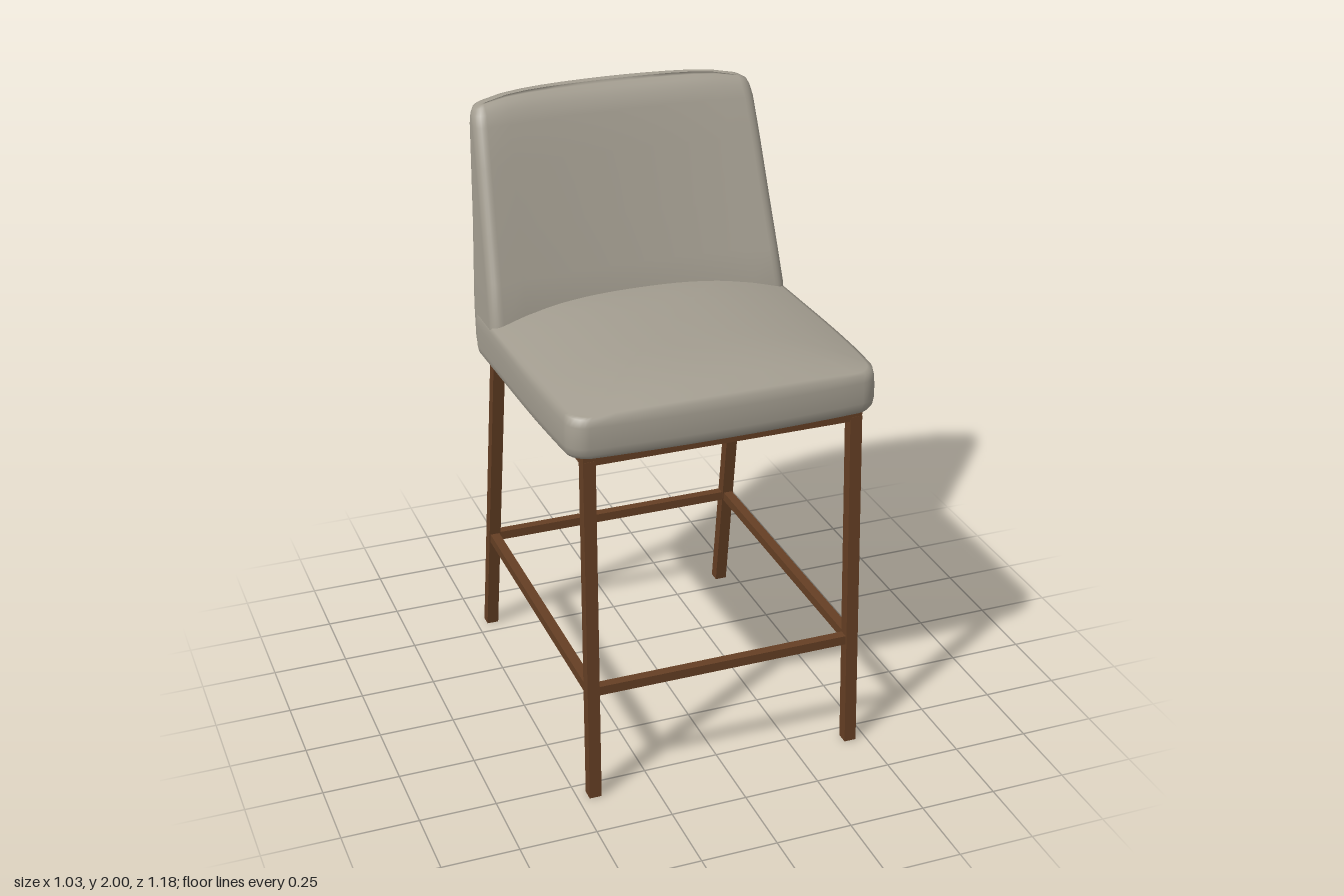
import * as THREE from 'three';

const fabric = new THREE.MeshStandardMaterial({ color: 0xa39d90 });
fabric.name = 'warm grey fabric';
const wood = new THREE.MeshStandardMaterial({ color: 0x653f24 });
wood.name = 'brown wood';

// Rounded rectangle of [x, z] points, running from +x towards +z
function roundedLoop(w, zFront, zBack, r) {
  const corners = [[w - r, zFront - r], [r - w, zFront - r], [r - w, zBack + r], [w - r, zBack + r]];
  const pts = [];
  corners.forEach(([cx, cz], k) => {
    for (let i = 0; i <= 6; i++) {
      const a = (k + i / 6) * Math.PI / 2;
      pts.push([cx + r * Math.cos(a), cz + r * Math.sin(a)]);
    }
    const [x0, z0] = pts[pts.length - 1];
    const a = (k + 1) * Math.PI / 2;
    const next = corners[(k + 1) % 4];
    const x1 = next[0] + r * Math.cos(a), z1 = next[1] + r * Math.sin(a);
    for (let i = 1; i < 12; i++) pts.push([x0 + (x1 - x0) * i / 12, z0 + (z1 - z0) * i / 12]);
  });
  return pts;
}

// Smooth skin through rings of [x, y, z], listed bottom to top, closed at both ends
function loft(name, rings) {
  const n = rings[0].length, pos = rings.flat(2), index = [];
  for (let j = 0; j < rings.length - 1; j++) {
    for (let i = 0; i < n; i++) {
      const a = j * n + i, b = j * n + (i + 1) % n;
      index.push(a, a + n, b, b, a + n, b + n);
    }
  }
  [0, rings.length - 1].forEach((j) => {
    const c = [0, 1, 2].map((k) => rings[j].reduce((s, p) => s + p[k], 0) / n);
    const ci = pos.length / 3;
    pos.push(...c);
    for (let i = 0; i < n; i++) {
      const a = j * n + i, b = j * n + (i + 1) % n;
      if (j === 0) index.push(ci, a, b); else index.push(ci, b, a);
    }
  });
  const g = new THREE.BufferGeometry();
  g.setAttribute('position', new THREE.Float32BufferAttribute(pos, 3));
  g.setIndex(index);
  g.computeVertexNormals();
  const mesh = new THREE.Mesh(g, fabric);
  mesh.name = name;
  return mesh;
}

// Crowned seat cushion with a sloping underside
function makeSeat() {
  const outline = roundedLoop(0.515, 0.567, -0.405, 0.06);
  const midZ = 0.08, halfZ = 0.49;
  const place = (s, height) => outline.map(([x0, z0]) => {
    let x = x0 * s, z = midZ + (z0 - midZ) * s;
    const u = x / 0.515, v = (z - midZ) / halfZ;
    const y = height(u, v, z);
    if (v > 0) {
      x *= 1 - 0.03 * v * v;               // narrows slightly to the front
      z += 0.02 * v * v * (1 - u * u);     // bowed front edge
    }
    return [x, y, z];
  });
  const under = (d) => (u, v, z) => 1.168 + 0.042 * z + d;
  const top = (u, v) => 1.32 + 0.063 * (1 - Math.abs(u) ** 2.5) * (1 - Math.abs(v) ** 6)
    + 0.012 * v * (v > 0 ? 1 - v ** 6 : 1);
  const rings = [place(0.5, under(0)), place(0.94, under(0)), place(0.975, under(0.004)),
    place(0.993, under(0.018)), place(1, under(0.04)), place(1, () => 1.265), place(0.997, () => 1.3)];
  [0.985, 0.96, 0.92, 0.85, 0.75, 0.6, 0.45, 0.3, 0.15, 0.03].forEach((s) => rings.push(place(s, top)));
  return loft('seatCushion', rings);
}

// Reclined backrest, bowed towards the rear
function makeBackrest() {
  // y, half width, front z, back z, corner radius, front bow, back bow
  const rows = [
    [1.154, 0.470, -0.210, -0.385, 0.04, 0.02, 0.01],
    [1.160, 0.498, -0.185, -0.408, 0.04, 0.03, 0.02],
    [1.180, 0.510, -0.172, -0.418, 0.04, 0.04, 0.02],
    [1.220, 0.513, -0.168, -0.424, 0.04, 0.04, 0.02],
    [1.330, 0.511, -0.172, -0.443, 0.04, 0.04, 0.025],
    [1.450, 0.505, -0.215, -0.460, 0.04, 0.035, 0.03],
    [1.600, 0.497, -0.270, -0.486, 0.04, 0.03, 0.04],
    [1.800, 0.487, -0.342, -0.525, 0.04, 0.025, 0.05],
    [1.920, 0.481, -0.388, -0.549, 0.04, 0.02, 0.055],
    [1.960, 0.477, -0.408, -0.556, 0.04, 0.02, 0.06],
    [1.985, 0.468, -0.425, -0.551, 0.03, 0.025, 0.06],
    [1.996, 0.452, -0.443, -0.538, 0.015, 0.03, 0.055],
    [2.000, 0.430, -0.460, -0.520, 0.005, 0.035, 0.05],
  ];
  return loft('backrest', rows.map(([y, w, zf, zb, r, bowF, bowB]) => {
    const zEdge = zb + bowB;
    return roundedLoop(w, zf, zEdge, r).map(([x, z]) => {
      const u = x / w, t = (zf - z) / (zf - zEdge);
      const drop = y > 1.9 ? 0.022 * u ** 6 * (y - 1.9) * 10 : 0;
      return [x, y - drop, z - (bowF + (bowB - bowF) * t) * (1 - u * u)];
    });
  }));
}

// Straight bar from a to b, sheared so its ends stay square to the given axis
function bar(name, a, b, axis, thick, high = thick) {
  const size = [thick, axis === 1 ? thick : high, thick];
  size[axis] = Math.abs(b[axis] - a[axis]);
  const g = new THREE.BoxGeometry(...size);
  const p = g.attributes.position;
  for (let i = 0; i < p.count; i++) {
    const v = [p.getX(i), p.getY(i), p.getZ(i)];
    const t = v[axis] / (b[axis] - a[axis]) + 0.5;
    const q = v.map((c, k) => (k === axis ? 0 : c) + a[k] + (b[k] - a[k]) * t);
    p.setXYZ(i, ...q);
  }
  g.computeVertexNormals();
  const mesh = new THREE.Mesh(g, wood);
  mesh.name = name;
  return mesh;
}

export function createModel() {
  const model = new THREE.Group();
  model.name = 'counterStool';
  model.add(makeSeat(), makeBackrest());

  const frame = new THREE.Group();
  frame.name = 'frame';
  // Legs, side rails and side stretchers on both sides
  for (const [side, s] of [['left', 1], ['right', -1]]) {
    frame.add(
      bar(side + 'FrontLeg', [s * 0.445, 0, 0.56], [s * 0.435, 1.175, 0.522], 1, 0.04),
      bar(side + 'RearLeg', [s * 0.445, 0, -0.572], [s * 0.435, 1.145, -0.391], 1, 0.04),
      bar(side + 'SeatRail', [s * 0.435, 1.147, -0.405], [s * 0.435, 1.177, 0.541], 2, 0.04, 0.032),
      bar(side + 'Stretcher', [s * 0.442, 0.382, -0.51], [s * 0.442, 0.382, 0.545], 2, 0.032),
    );
  }
  // Cross rails and cross stretchers at the front and rear
  for (const [end, railY, railZ, z] of [['front', 1.176, 0.521, 0.546], ['rear', 1.148, -0.39, -0.512]]) {
    frame.add(
      bar(end + 'SeatRail', [-0.454, railY, railZ], [0.454, railY, railZ], 0, 0.039, 0.031),
      bar(end + 'Stretcher', [-0.44, 0.382, z], [0.44, 0.382, z], 0, 0.031),
    );
  }
  model.add(frame);
  return model;
}
